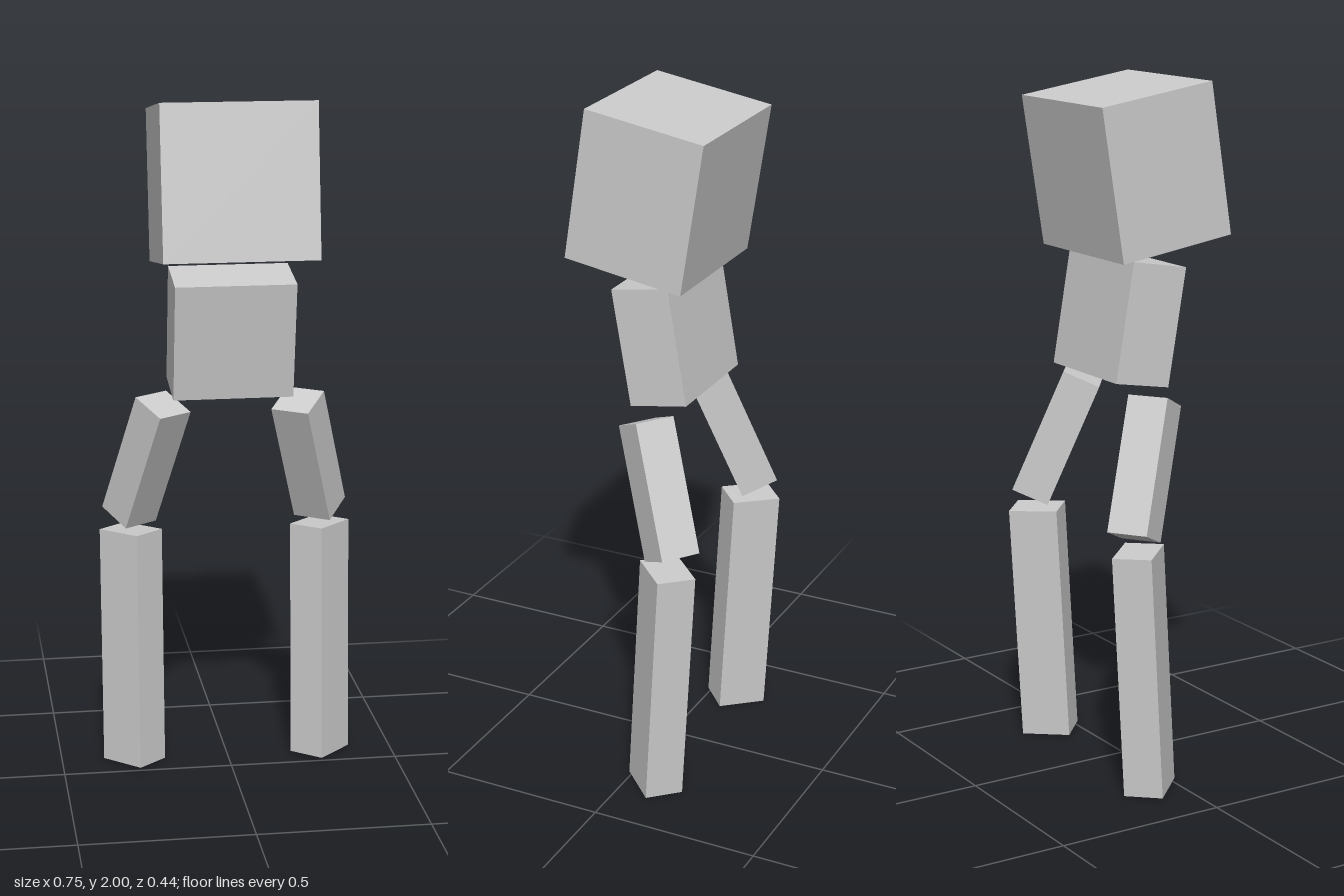
import * as THREE from 'three';

export function createModel() {
  const model = new THREE.Group();
  model.name = 'blockFigure';
  const grey = new THREE.MeshStandardMaterial({ color: 0xcccccc });
  grey.name = 'plain grey';

  // One tilted block: size, centre, pitch, yaw and rotation order
  function block(name, size, centre, pitch, yaw = 0, order = 'XYZ') {
    const mesh = new THREE.Mesh(new THREE.BoxGeometry(...size), grey);
    mesh.name = name;
    mesh.position.set(...centre);
    mesh.rotation.set(pitch, yaw, 0, order);
    model.add(mesh);
  }

  // Head leans back, torso leans forward
  block('head', [0.438, 0.436, 0.358], [0, 1.758, 0.01], -0.156);
  block('torso', [0.346, 0.343, 0.175], [0, 1.327, -0.014], 0.17);

  // Legs, mirrored left and right
  for (const [label, s] of [['left', 1], ['right', -1]]) {
    // Thigh swings outwards and back along its own yawed plane
    block(label + 'Thigh', [0.118, 0.391, 0.114], [s * 0.241, 0.938, -0.079], 0.405, s * -0.624, 'YXZ');
    // Shin is turned about its length, then tipped slightly back
    block(label + 'Shin', [0.145, 0.711, 0.113], [s * 0.283, 0.36, -0.106], -0.056, s * 0.81);
  }
  return model;
}
